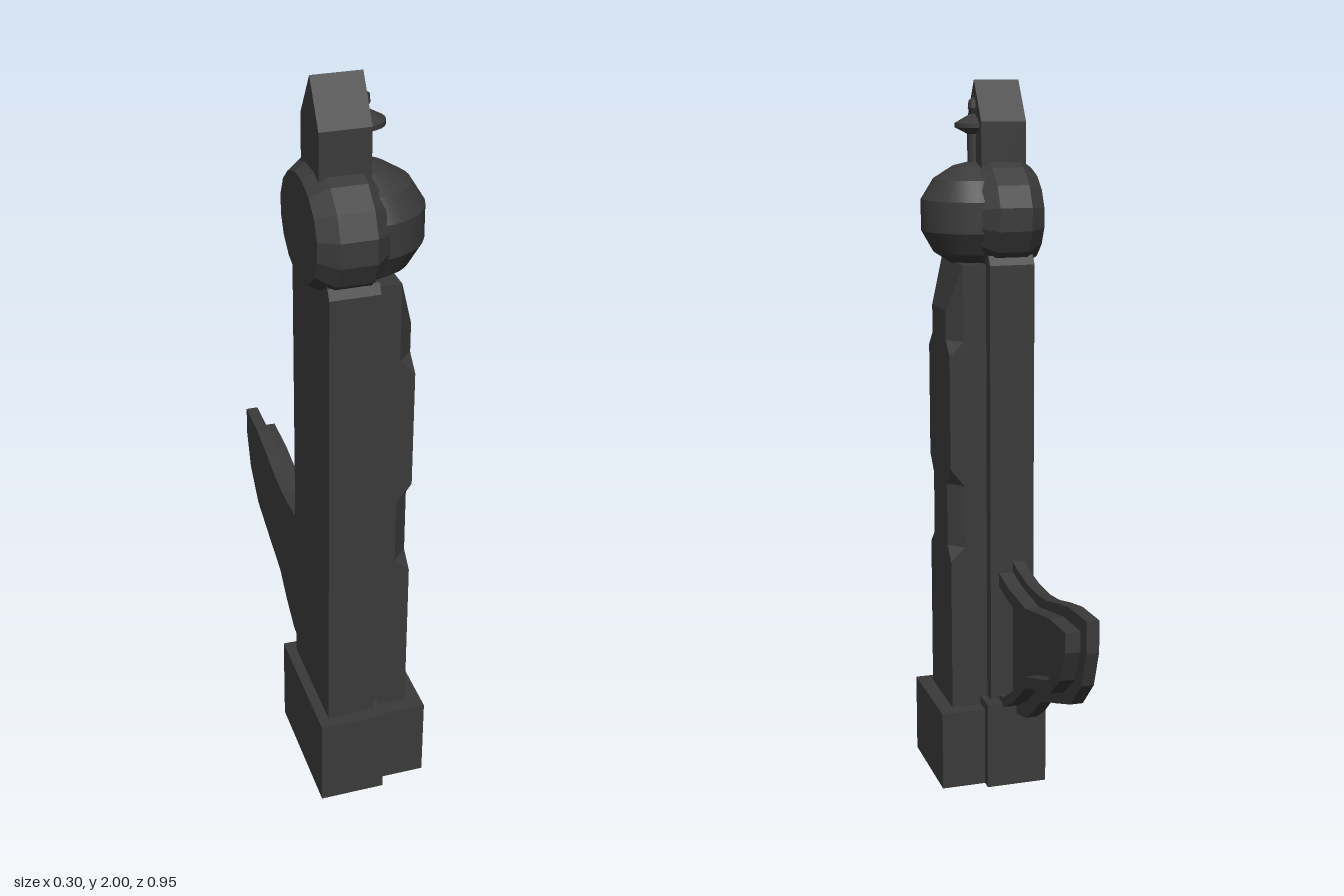
import * as THREE from 'three';
import { toCreasedNormals } from 'three/addons/utils/BufferGeometryUtils.js';

const COLOR = 0x3a3a3a;
const CZ = 0.29; // shared z of the post axis

const flat = new THREE.MeshStandardMaterial({ color: COLOR, flatShading: true, side: THREE.DoubleSide });
const smooth = new THREE.MeshStandardMaterial({ color: COLOR });

// Stack of horizontal rings [x, z] at heights y, joined by quads, closed on top
function loft(sections) {
  const pos = [], index = [];
  const n = sections[0].ring.length;
  for (const { y, ring } of sections) for (const [x, z] of ring) pos.push(x, y, z);
  for (let i = 0; i < sections.length - 1; i++) {
    for (let j = 0; j < n; j++) {
      const a = i * n + j, b = i * n + (j + 1) % n;
      index.push(a, a + n, b, b, a + n, b + n);
    }
  }
  const top = (sections.length - 1) * n;
  for (let j = 1; j < n - 1; j++) index.push(top, top + j + 1, top + j);
  const g = new THREE.BufferGeometry();
  g.setAttribute('position', new THREE.Float32BufferAttribute(pos, 3));
  g.setIndex(index);
  g.computeVertexNormals();
  return g;
}

const rect = (x0, x1, z0, z1) => [[x0, z0], [x1, z0], [x1, z1], [x0, z1]];

// Side-view outline [z, y] extruded from x0 to x1
function sidePlate(points, x0, x1) {
  const shape = new THREE.Shape(points.map(([z, y]) => new THREE.Vector2(-z, y)));
  const g = new THREE.ExtrudeGeometry(shape, { depth: x1 - x0, bevelEnabled: false });
  return g.rotateY(Math.PI / 2).translate(x0, 0, 0);
}

const lathe = (pts, seg, start = 0) =>
  new THREE.LatheGeometry(pts.map(p => new THREE.Vector2(...p)), seg, start);

export function createModel() {
  const group = new THREE.Group();
  const add = (name, geometry, material = flat) => {
    const mesh = new THREE.Mesh(geometry, material);
    mesh.name = name;
    group.add(mesh);
    return mesh;
  };

  // Plinths, open underneath
  const plinth = (x0, x1, z0, z1, h) =>
    loft([0, h].map(y => ({ y, ring: rect(x0, x1, z0, z1) })));
  add('mainPlinth', plinth(-0.155, 0.02, 0.105, 0.475, 0.255));
  add('sidePlinth', plinth(0.02, 0.147, 0.135, 0.443, 0.23));

  // Main post with a small bevel at the top
  add('mainPost', loft([[0.2, 0], [1.51, 0], [1.535, 0.015]].map(([y, d]) => (
    { y, ring: rect(-0.127, 0, 0.14 + d, 0.443 - d) }
  ))));

  // Side post: [height, outer x, corner chamfer]
  const levels = [
    [0.2, 0.105, 0], [0.67, 0.105, 0], [0.71, 0.105, 0.04], [0.89, 0.105, 0.04],
    [0.94, 0.105, 0], [1.26, 0.105, 0], [1.3, 0.105, 0.04], [1.38, 0.105, 0.04], [1.51, 0.065, 0],
  ];
  add('sidePost', loft(levels.map(([y, x, c]) => ({
    y,
    ring: [
      [-0.02, 0.178], [x - c, 0.178], [x, 0.178 + c],
      [x, 0.403 - c], [x - c, 0.403], [-0.02, 0.403],
    ],
  }))));

  // Bevelled drum lying on its side above the main post
  const drum = lathe([
    [0, -0.155], [0.152, -0.155], [0.188, -0.11], [0.188, -0.02], [0.152, 0.02], [0, 0.02],
  ], 16, Math.PI / 16);
  drum.rotateZ(-Math.PI / 2).scale(1, 0.86, 1).translate(0, 1.635, CZ);
  add('drum', drum);

  // Banded ball in front of the drum
  const ball = lathe([
    [0, 1.49], [0.06, 1.5], [0.115, 1.535], [0.149, 1.595],
    [0.149, 1.68], [0.115, 1.735], [0.06, 1.77], [0, 1.785],
  ], 32);
  add('ball', toCreasedNormals(ball, 0.3), smooth).position.z = CZ;

  // Finial: neck, flange and bead
  const finial = lathe([
    [0.018, 1.76], [0.018, 1.855], [0.053, 1.873], [0.053, 1.885], [0.018, 1.905],
    [0.01, 1.91], [0.017, 1.925], [0.015, 1.945], [0, 1.955],
  ], 20);
  add('finial', toCreasedNormals(finial, 0.4), smooth).position.z = CZ;

  // Gabled block on top
  add('gabledCap', sidePlate([
    [0.22, 1.68], [0.36, 1.68], [0.36, 1.89], [CZ, 2], [0.22, 1.89],
  ], -0.127, 0));

  // Bracket: plate plus a raised moulding following its edge
  add('bracketPlate', sidePlate([
    [0.16, 0.675], [0.1, 0.655], [0, 0.641], [-0.09, 0.64], [-0.17, 0.65], [-0.25, 0.67], [-0.35, 0.69],
    [-0.475, 0.695], [-0.475, 0.61], [-0.44, 0.51], [-0.36, 0.43], [-0.25, 0.39], [-0.12, 0.345],
    [-0.05, 0.285], [0.02, 0.24], [0.1, 0.22], [0.16, 0.22],
  ], -0.1, -0.066));
  add('bracketMoulding', sidePlate([
    [0.16, 0.64], [0.05, 0.62], [-0.1, 0.61], [-0.2, 0.63], [-0.3, 0.65], [-0.432, 0.655],
    [-0.432, 0.6], [-0.39, 0.51], [-0.31, 0.445], [-0.11, 0.385], [0, 0.3], [0.09, 0.25], [0.16, 0.24],
    [0.16, 0.265], [0.1, 0.275], [0, 0.335], [-0.09, 0.41], [-0.29, 0.475], [-0.36, 0.53],
    [-0.395, 0.62], [-0.3, 0.615], [-0.2, 0.59], [-0.1, 0.572], [0.05, 0.58], [0.16, 0.6],
  ], -0.07, -0.025));

  return group;
}
